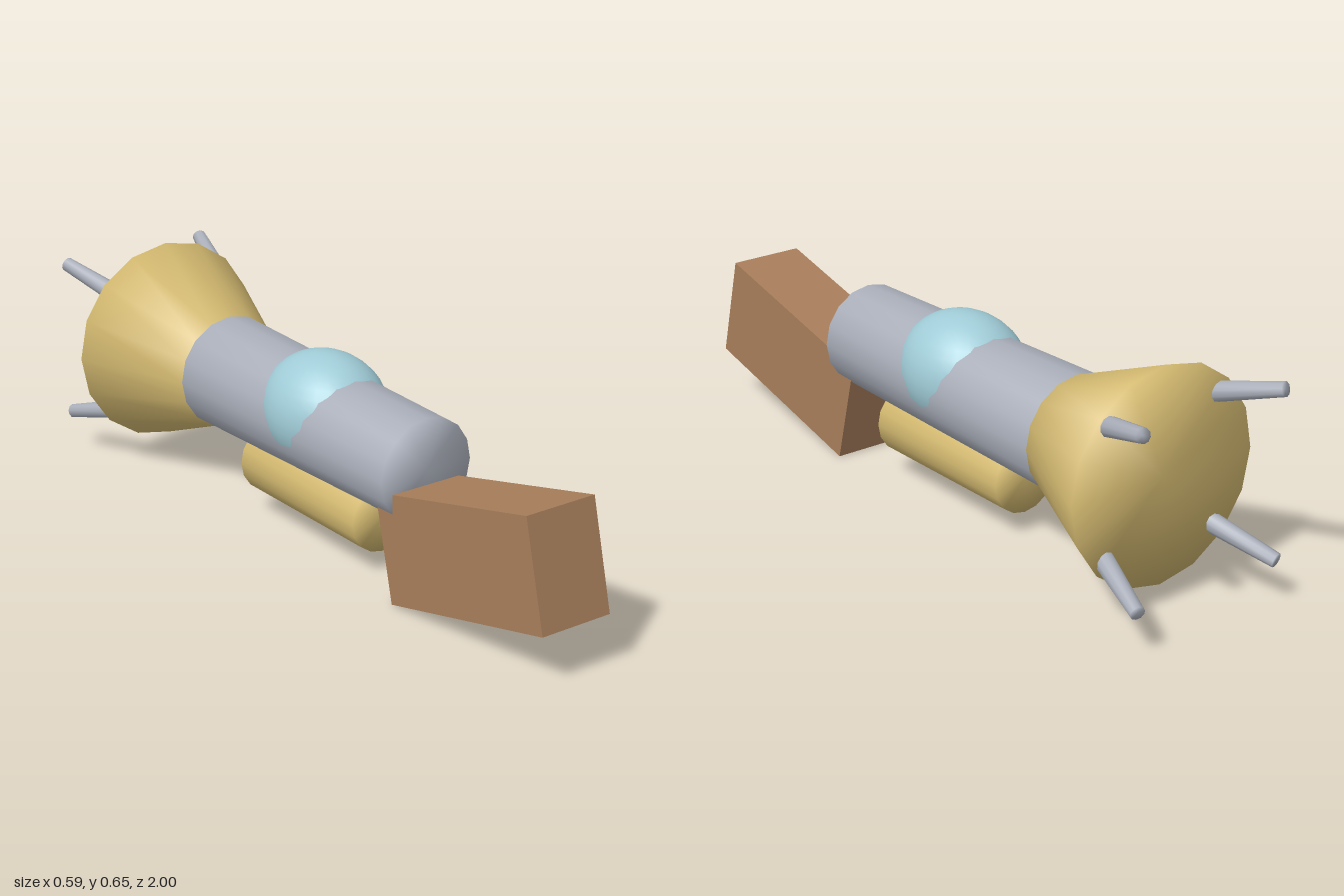
import * as THREE from 'three';
import { mergeVertices } from 'three/addons/utils/BufferGeometryUtils.js';

const AXIS_Y = 0.354; // height of the main axis

function material(name, color) {
  const m = new THREE.MeshStandardMaterial({ color });
  m.name = name;
  return m;
}

// Tapered cylinder along z, shaded softly over its rims
function frustum(frontRadius, backRadius, length, sides) {
  const g = new THREE.CylinderGeometry(frontRadius, backRadius, length, sides);
  g.rotateX(Math.PI / 2);
  g.deleteAttribute('uv');
  g.deleteAttribute('normal');
  const soft = mergeVertices(g);
  soft.computeVertexNormals();
  return soft;
}

export function createModel() {
  const grey = material('grey metal', 0xa9aeb9);
  const gold = material('gold', 0xd3b970);
  const brown = material('brown', 0xa87e5b);
  const blue = material('pale blue', 0xa0ccd7);

  const model = new THREE.Group();
  model.name = 'model';

  function add(name, geometry, mat, x, y, z) {
    const mesh = new THREE.Mesh(geometry, mat);
    mesh.name = name;
    mesh.position.set(x, y, z);
    model.add(mesh);
    return mesh;
  }

  // Main tube, slightly wider at the back
  add('body', frustum(0.145, 0.163, 0.9, 16), grey, 0, AXIS_Y, -0.04);

  // Flared tail
  add('tailFlare', frustum(0.163, 0.295, 0.33, 16), gold, 0, AXIS_Y, -0.655);

  // Tank under the body
  add('bellyTank', frustum(0.101, 0.101, 0.52, 16), gold, 0, 0.161, -0.03);

  // Canopy set into the top of the body
  const canopy = add('canopy', new THREE.SphereGeometry(1, 28, 18), blue, 0, 0.383, -0.028);
  canopy.scale.set(0.162, 0.165, 0.199);

  // Nose block, tilted up towards the front
  const nose = add('noseBlock', new THREE.BoxGeometry(0.216, 0.301, 0.608), brown, 0, 0.223, 0.67);
  nose.rotation.x = -THREE.MathUtils.degToRad(14);

  // Four rods splaying out behind the tail
  const rodStart = 0.152, rodEnd = 0.23, zStart = -0.72, zEnd = -0.994;
  for (const sx of [1, -1]) {
    for (const sy of [1, -1]) {
      const a = new THREE.Vector3(sx * rodStart, AXIS_Y + sy * rodStart, zStart);
      const b = new THREE.Vector3(sx * rodEnd, AXIS_Y + sy * rodEnd, zEnd);
      const mid = a.clone().add(b).multiplyScalar(0.5);
      const rod = add('tailRod', frustum(0.031, 0.02, a.distanceTo(b), 10), grey, mid.x, mid.y, mid.z);
      rod.quaternion.setFromUnitVectors(new THREE.Vector3(0, 0, 1), a.clone().sub(b).normalize());
    }
  }

  return model;
}
